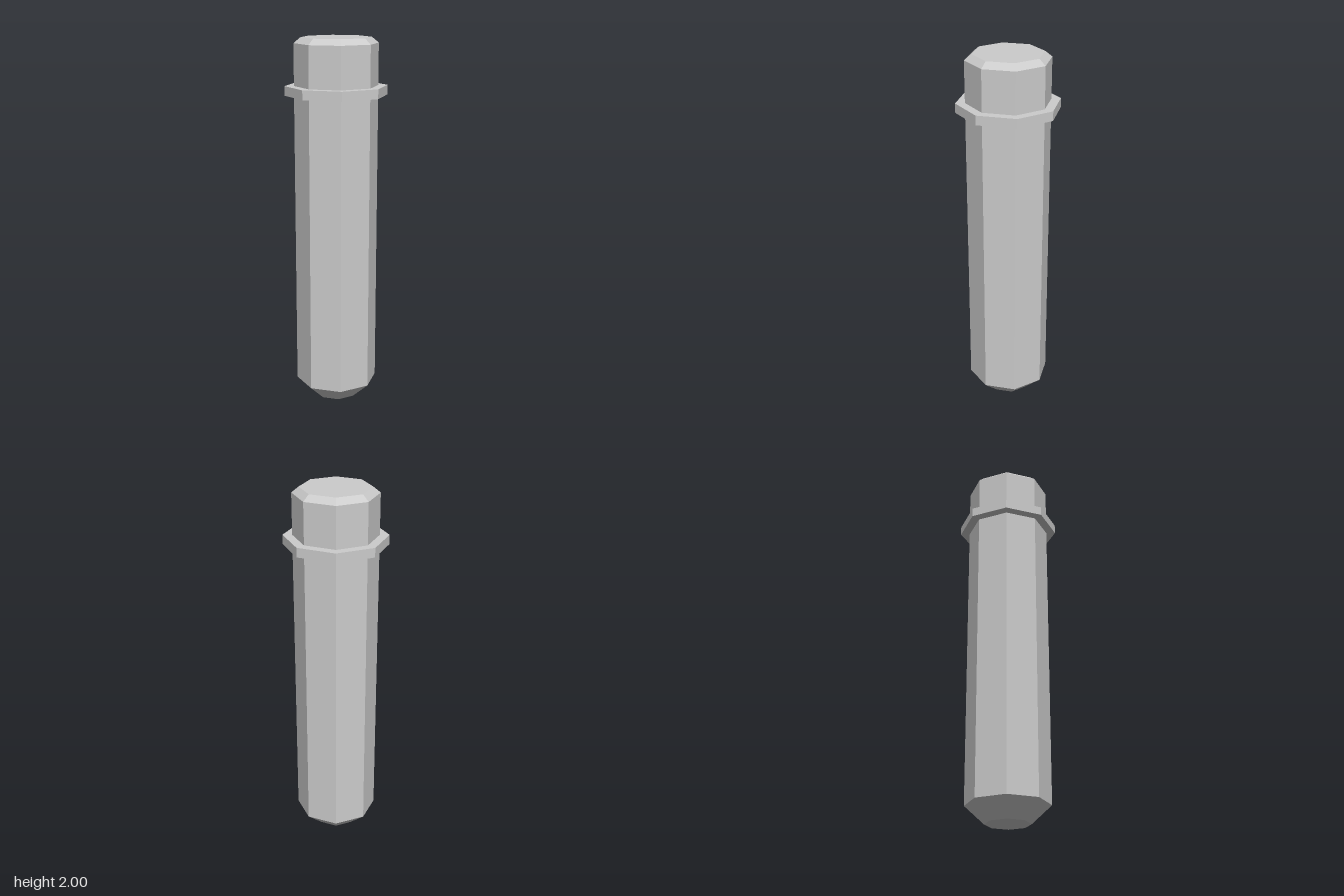
import * as THREE from 'three';

const SIDES = 8;

export function createModel() {
  const model = new THREE.Group();
  const material = new THREE.MeshStandardMaterial({ color: 0xcccccc, flatShading: true });

  const add = (name, geometry, y = 0) => {
    const mesh = new THREE.Mesh(geometry, material);
    mesh.name = name;
    mesh.position.y = y;
    model.add(mesh);
  };

  // Octagonal post: tapered foot, straight shaft, bevelled cap
  const profile = [
    [0, 0], [0.12, 0], [0.223, 0.095], [0.223, 1.97], [0.186, 2], [0, 2],
  ].map(([r, y]) => new THREE.Vector2(r, y));
  add('post', new THREE.LatheGeometry(profile, SIDES));

  // Thin flange around the upper shaft
  add('collar', new THREE.CylinderGeometry(0.273, 0.273, 0.05, SIDES), 1.725);

  return model;
}
